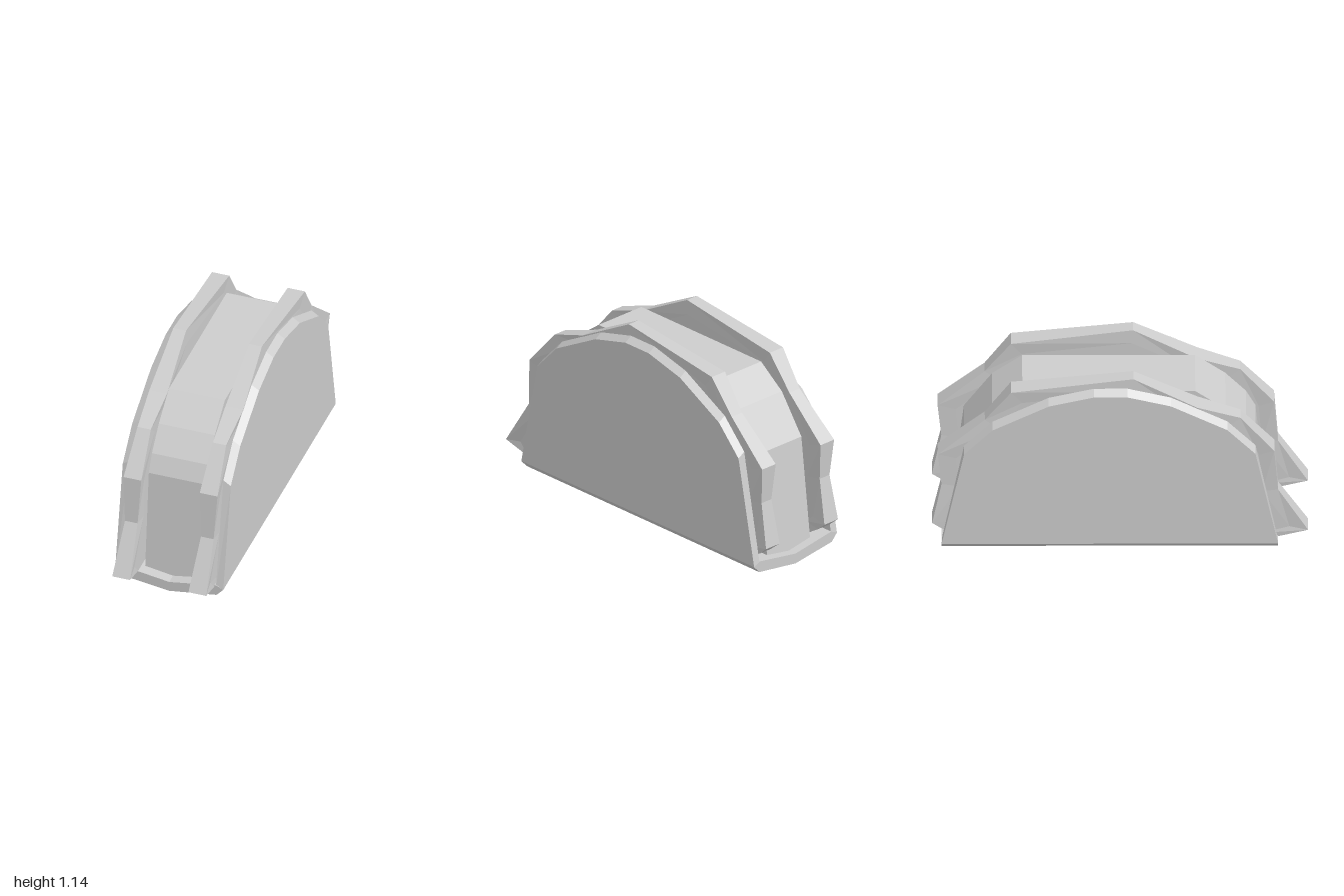
import * as THREE from 'three';

const grey = new THREE.MeshStandardMaterial({ color: 0xcccccc });
grey.name = 'light grey';

const CENTRE = [0, 0.3]; // z, y hub of every side face

// Skin a stack of rings running from low x to high x, and close both ends.
// Each ring is a list of [x, y, z] going from the front foot over the top to the back.
function loft(name, rings) {
  const pos = [];
  const tri = (a, b, c) => pos.push(...a, ...b, ...c);
  const n = rings[0].length;
  const first = rings[0], last = rings[rings.length - 1];
  const hub = (ring) => [ring[0][0], CENTRE[1], CENTRE[0]];
  for (let i = 0; i < n; i++) {
    const j = (i + 1) % n;
    for (let r = 0; r + 1 < rings.length; r++) {
      const a = rings[r], b = rings[r + 1];
      tri(a[i], b[i], b[j]);
      tri(a[i], b[j], a[j]);
    }
    tri(hub(first), first[i], first[j]);
    tri(hub(last), last[j], last[i]);
  }
  const geo = new THREE.BufferGeometry();
  geo.setAttribute('position', new THREE.Float32BufferAttribute(pos, 3));
  geo.computeVertexNormals();
  const mesh = new THREE.Mesh(geo, grey);
  mesh.name = name;
  return mesh;
}

const ringAt = (profile, x) => profile.map(([z, y]) => [x, y, z]);
const mirror = (rings) =>
  rings.map((ring) => ring.map(([x, y, z]) => [-x, y, z])).reverse();

// Profiles as [z, y]
const wallProfile = [
  [0.84, 0.08], [0.72, 0.68], [0.57, 0.84], [0.27, 1.0], [0.04, 1.06],
  [-0.14, 1.06], [-0.38, 1.0], [-0.68, 0.84], [-0.83, 0.68], [-0.95, 0.08],
];
const coreProfile = [
  [0.78, 0.05], [0.72, 0.655], [0.67, 0.75], [0.56, 0.87], [0.4, 0.99],
  [-0.52, 0.99], [-0.68, 0.87], [-0.83, 0.655], [-0.9, 0.05],
];
// Rib points as [z, y, inner x, outer x]: wide and narrow corners alternate
const ribProfile = [
  [0.84, 0.09, 0.175, 0.255],
  [1.0, 0.14, 0.165, 0.265],
  [0.84, 0.4, 0.179, 0.25],
  [0.82, 0.67, 0.165, 0.265],
  [0.64, 0.88, 0.175, 0.25],
  [0.41, 0.96, 0.165, 0.265],
  [0.07, 1.14, 0.178, 0.25],
  [-0.58, 1.06, 0.165, 0.262],
  [-0.72, 0.87, 0.175, 0.25],
  [-0.97, 0.65, 0.165, 0.265],
  [-0.95, 0.44, 0.178, 0.25],
  [-1.0, 0.19, 0.165, 0.265],
  [-0.94, 0.14, 0.175, 0.255],
  [-0.86, 0.09, 0.175, 0.255],
];

export function createModel() {
  const model = new THREE.Group();
  model.name = 'domedCase';

  // Central block between the ribs
  model.add(loft('core', [ringAt(coreProfile, -0.158), ringAt(coreProfile, 0.158)]));

  // Outer side walls with a bevelled rim
  const rim = wallProfile.map(([z, y], i) =>
    [z, i === 0 || i === wallProfile.length - 1 ? y : y + 0.027]);
  const wall = [ringAt(rim, 0.263), ringAt(wallProfile, 0.305)];

  // Jagged ribs: the sides settle to flat faces a little way in from the edge
  const inset = ribProfile.map(([z, y]) => [
    THREE.MathUtils.lerp(z, CENTRE[0], 0.1),
    THREE.MathUtils.lerp(y, CENTRE[1], 0.1),
  ]);
  const rib = [
    ringAt(inset, 0.175),
    ribProfile.map(([z, y, x]) => [x, y, z]),
    ribProfile.map(([z, y, , x]) => [x, y, z]),
    ringAt(inset, 0.253),
  ];

  model.add(loft('leftWall', wall), loft('rightWall', mirror(wall)));
  model.add(loft('leftRib', rib), loft('rightRib', mirror(rib)));

  // Shallow keeled floor joining the walls
  const section = new THREE.Shape([
    [0, 0], [0.267, 0.038], [0.305, 0.08], [0.263, 0.1],
    [0, 0.058], [-0.263, 0.1], [-0.305, 0.08], [-0.267, 0.038],
  ].map(([x, y]) => new THREE.Vector2(x, y)));
  const floorGeo = new THREE.ExtrudeGeometry(section, { depth: 1.79, bevelEnabled: false });
  floorGeo.translate(0, 0, -0.95);
  const floor = new THREE.Mesh(floorGeo, grey);
  floor.name = 'floor';
  model.add(floor);

  return model;
}
